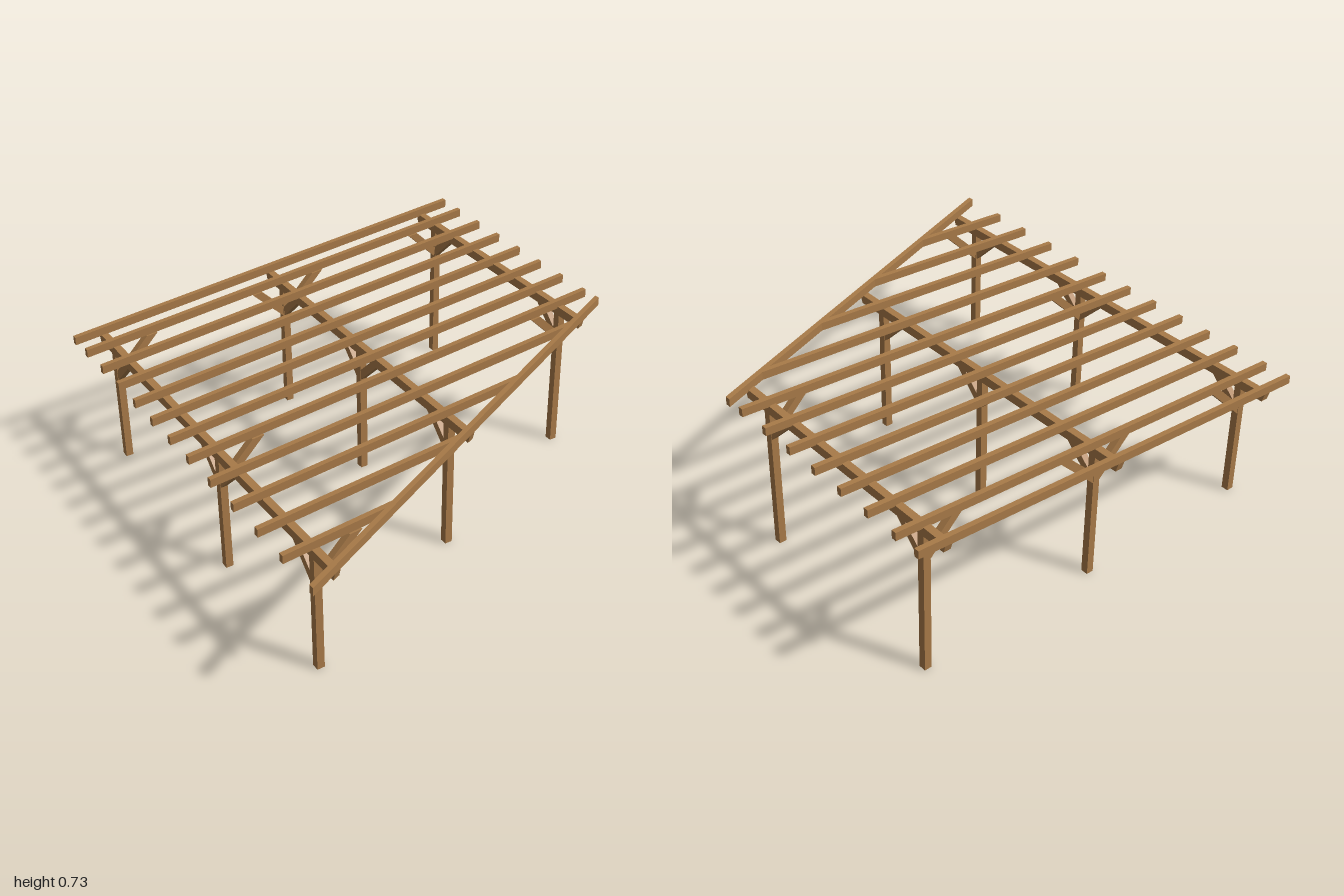
import * as THREE from 'three';

const wood = new THREE.MeshStandardMaterial({ color: 0xa87a48 });
const END = 0.965;        // half length of the rafters
const SLOPE = 0.072;      // roof pitch along x
const RAFTER_H = 0.036, RAFTER_W = 0.022;
const POST = 0.032;
const roofTop = x => 0.657 + SLOPE * x;
const roofUnder = x => roofTop(x) - RAFTER_H;
const skewZ = x => 0.57 - 0.431 * x;   // centre line of the slanting front edge

// Unit box whose corners (each coordinate -1 or 1) are placed by a rule
function timber(name, place) {
  const geo = new THREE.BoxGeometry(2, 2, 2);
  const p = geo.attributes.position;
  for (let i = 0; i < p.count; i++) p.setXYZ(i, ...place(p.getX(i), p.getY(i), p.getZ(i)));
  geo.computeVertexNormals();
  const mesh = new THREE.Mesh(geo, wood);
  mesh.name = name;
  return mesh;
}

// Diagonal brace outline in a (distance, height) plane, extruded to its width
function brace(name, start, dir, foot, under, slope) {
  const t = 0.048;
  const reach = h => (under - h) / (1 - slope * dir);
  const a = reach(foot), b = reach(foot + t);
  const at = d => start + dir * (POST / 2 + d);
  const shape = new THREE.Shape([
    new THREE.Vector2(at(-0.004), foot - 0.004),
    new THREE.Vector2(at(a), foot + a),
    new THREE.Vector2(at(b), foot + t + b),
    new THREE.Vector2(at(-0.004), foot + t - 0.004),
  ]);
  const w = 0.028;
  const geo = new THREE.ExtrudeGeometry(shape, { depth: w, bevelEnabled: false });
  geo.translate(0, 0, -w / 2);
  const mesh = new THREE.Mesh(geo, wood);
  mesh.name = name;
  return mesh;
}

export function createModel() {
  const model = new THREE.Group();
  model.name = 'pergola';

  // Three frames: posts, beam and braces; cross lists the directions of braces along x
  const frames = [
    { name: 'left', x: 0.83, bottom: 0.647, posts: [0.073, -0.863], cross: () => [-1] },
    { name: 'middle', x: 0, bottom: 0.581, posts: [0.43, -0.215, -0.863], cross: z => (z < -0.8 ? [-1, 1] : []) },
    { name: 'right', x: -0.83, bottom: 0.523, posts: [0.785, 0.073, -0.863], cross: () => [1] },
  ];
  for (const { name, x, bottom, posts, cross } of frames) {
    const frame = new THREE.Group();
    frame.name = name + 'Frame';
    model.add(frame);

    // Beam, cut along the slanting front and slightly chamfered at the ends
    frame.add(timber('beam', (i, j, k) => {
      const px = x + i * POST / 2;
      const inset = j < 0 ? 0.012 : 0;
      const z = k > 0 ? skewZ(px) + 0.012 - inset : -1 + inset;
      return [px, bottom + 0.02 + j * 0.02, z];
    }));

    const foot = bottom - 0.122;
    posts.forEach((z, n) => {
      frame.add(timber('post', (i, j, k) =>
        [x + i * POST / 2, j > 0 ? bottom : 0, z + k * POST / 2]));

      // Braces under the beam, only towards a neighbouring post
      const dirs = [];
      if (n > 0) dirs.push(1);
      if (n < posts.length - 1) dirs.push(-1);
      for (const dir of dirs) {
        const b = brace('beamBrace', z, dir, foot, bottom, 0);
        b.rotation.y = -Math.PI / 2;
        b.position.x = x;
        frame.add(b);
      }

      // Braces under the rafters
      for (const dir of cross(z)) {
        const start = x + dir * POST / 2;
        const b = brace('rafterBrace', x, dir, foot, roofUnder(start), SLOPE);
        b.position.z = z;
        frame.add(b);
      }
    });
  }

  // Sloping rafters, the front ones trimmed against the slanting edge
  const rafterZ = [-0.989, -0.867, -0.711, -0.556, -0.4, -0.244, -0.089, 0.067, 0.244, 0.423, 0.602, 0.78];
  for (const z of rafterZ) {
    model.add(timber('rafter', (i, j, k) => {
      const pz = z + k * RAFTER_W / 2;
      const x = i < 0 ? -END : Math.min(END, (0.57 - 0.012 - pz) / 0.431);
      return [x, j > 0 ? roofTop(x) : roofUnder(x), pz];
    }));
  }

  // Slanting front rafter
  model.add(timber('frontRafter', (i, j, k) => {
    const x = i * END;
    return [x, j > 0 ? roofTop(x) : roofUnder(x), skewZ(x) + k * 0.012];
  }));

  return model;
}
